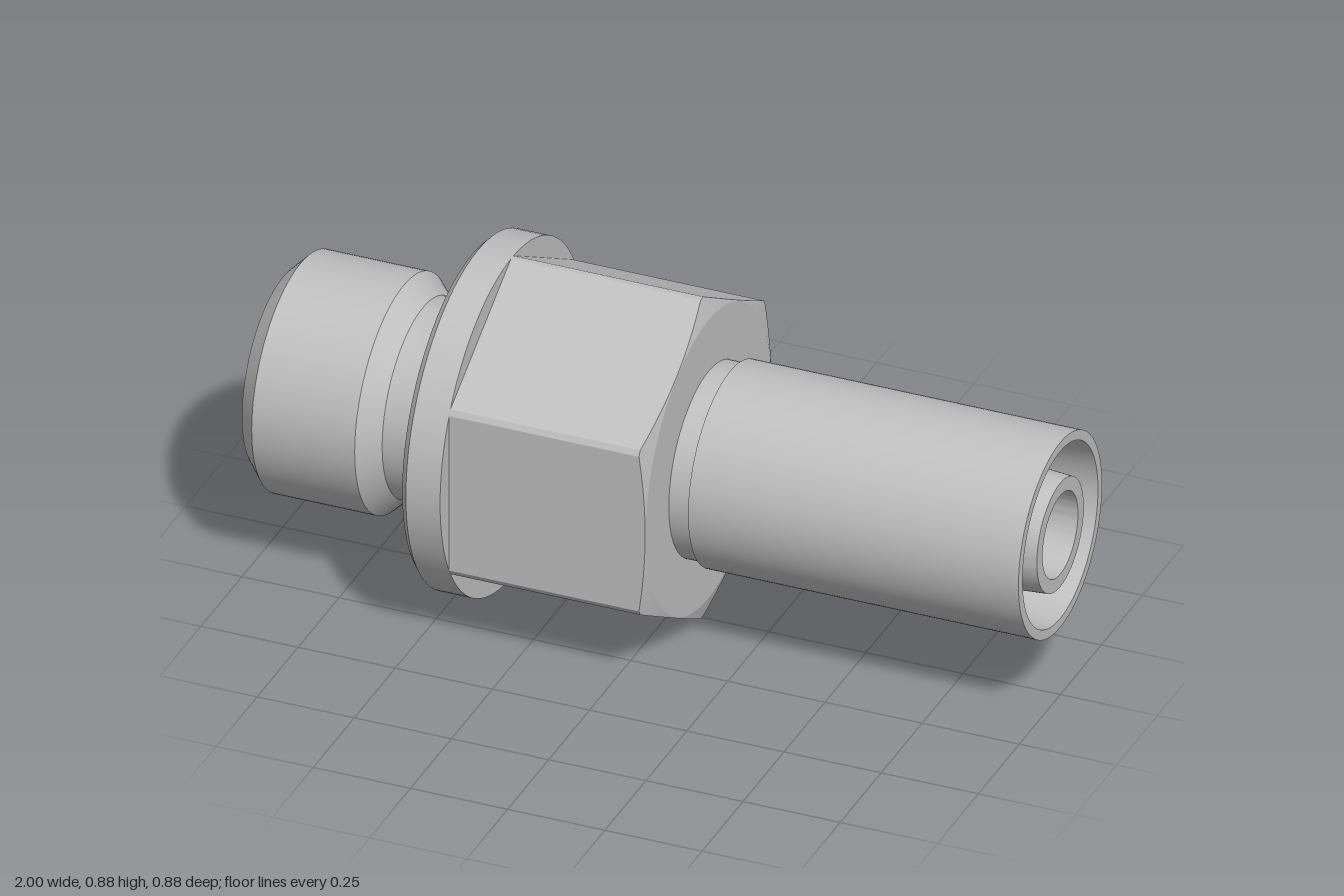
import * as THREE from 'three';
import { toCreasedNormals } from 'three/addons/utils/BufferGeometryUtils.js';

const AXIS = 0.44; // height of the centre line
const BORE = 0.108;

// Turned part: profile of [x, radius] points, outer side listed left to right
function turned(name, profile, material) {
  const points = profile.map(([x, r]) => new THREE.Vector2(r, x));
  const geometry = new THREE.LatheGeometry(points, 96);
  geometry.rotateZ(-Math.PI / 2);
  const mesh = new THREE.Mesh(toCreasedNormals(geometry, 0.45), material);
  mesh.name = name;
  return mesh;
}

// Hexagon with slightly trimmed corners and a conical chamfer on its right end
function hexGeometry(left, right, apothem, corner, faceRadius, holeRadius) {
  const half = Math.acos(apothem / corner);
  const steps = 16;
  const positions = [];
  const index = [];
  for (let side = 0; side < 6; side++) {
    for (let s = 0; s <= steps; s++) {
      const local = half * (2 * s / steps - 1);
      const angle = side * Math.PI / 3 + local;
      const r = apothem / Math.cos(local);
      const rings = [
        [left, r],
        [right - (r - faceRadius) * 0.29, r],
        [right, faceRadius],
        [right, holeRadius],
      ];
      for (const [x, radius] of rings) {
        positions.push(x, radius * Math.sin(angle), radius * Math.cos(angle));
      }
    }
  }
  const columns = 6 * (steps + 1);
  for (let c = 0; c < columns; c++) {
    const next = (c + 1) % columns;
    for (let k = 0; k < 3; k++) {
      const a = c * 4 + k, d = next * 4 + k;
      index.push(a, a + 1, d + 1, a, d + 1, d);
    }
  }
  const geometry = new THREE.BufferGeometry();
  geometry.setAttribute('position', new THREE.Float32BufferAttribute(positions, 3));
  geometry.setIndex(index);
  return toCreasedNormals(geometry, 0.15);
}

export function createModel() {
  const steel = new THREE.MeshStandardMaterial({ color: 0xc0c0c0 });
  steel.name = 'steel';
  const model = new THREE.Group();
  model.name = 'pipeFitting';
  model.position.y = AXIS;

  // Chamfered stub, undercut neck and the fillet into the flange
  const fillet = [];
  for (let i = 0; i <= 4; i++) {
    const a = i * Math.PI / 8;
    fillet.push([-0.54 + 0.025 * Math.sin(a), 0.273 - 0.025 * Math.cos(a)]);
  }
  model.add(turned('stub', [
    [-1, BORE], [-1, 0.25], [-0.955, 0.297], [-0.69, 0.297],
    [-0.64, 0.248], ...fillet,
  ], steel));

  // Round flange with a bevelled left rim
  model.add(turned('flange', [
    [-0.515, 0.273], [-0.515, 0.422], [-0.498, 0.44], [-0.41, 0.44], [-0.41, 0.3],
  ], steel));

  // Hexagonal wrench section
  const hex = new THREE.Mesh(hexGeometry(-0.41, 0.095, 0.385, 0.44, 0.383, 0.235), steel);
  hex.name = 'hexNut';
  model.add(hex);

  // Neck and tube, with a tapered ring groove around the inner nipple
  model.add(turned('tube', [
    [0.095, 0.242], [0.15, 0.242], [0.15, 0.255], [1, 0.255], [1, 0.23],
    [0.8, 0.217], [0.8, 0.157], [1, 0.143], [1, BORE],
  ], steel));

  // Through bore
  model.add(turned('bore', [[1, BORE], [-1, BORE]], steel));

  return model;
}
